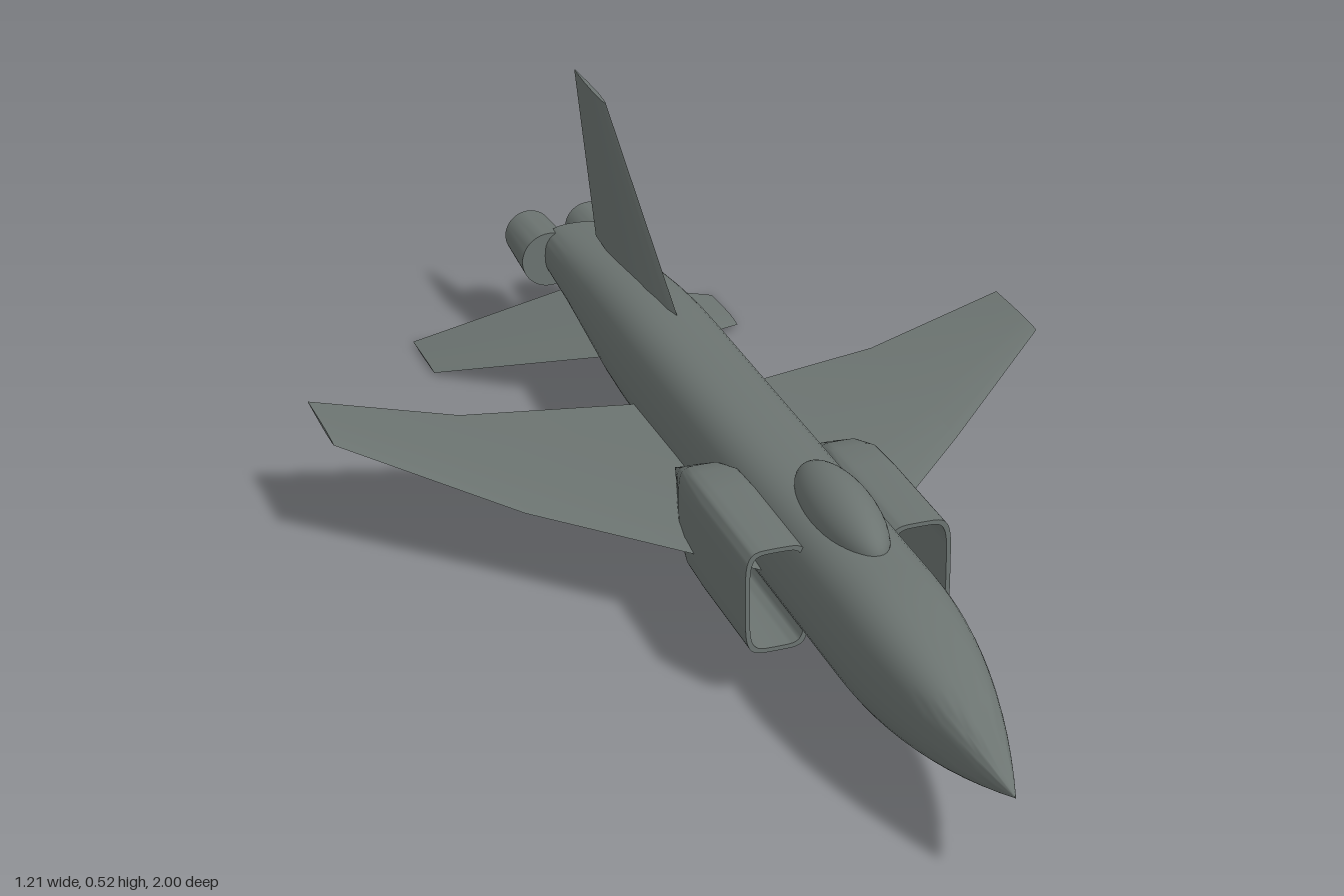
import * as THREE from 'three';
import { toCreasedNormals } from 'three/addons/utils/BufferGeometryUtils.js';

const V = (x, y, z) => new THREE.Vector3(x, y, z);

// Skin a list of equal-length closed rings, optionally capping both ends
function loft(rings, cap, crease = 0.6) {
  if (cap) {
    const centre = (r) => {
      const c = r.reduce((s, p) => s.add(p), V(0, 0, 0)).divideScalar(r.length);
      return r.map(() => c);
    };
    rings = [centre(rings[0]), ...rings, centre(rings[rings.length - 1])];
  }
  const n = rings[0].length, index = [];
  for (let i = 0; i < rings.length - 1; i++) {
    for (let j = 0; j < n; j++) {
      const a = i * n + j, b = i * n + (j + 1) % n;
      index.push(a, a + n, b, b, a + n, b + n);
    }
  }
  const g = new THREE.BufferGeometry().setFromPoints(rings.flat());
  g.setIndex(index);
  return toCreasedNormals(g, crease);
}

// Superellipse section facing along z
function section(cx, cy, z, rx, ry, power, n = 40) {
  const bend = (v) => Math.sign(v) * Math.pow(Math.abs(v), 2 / power);
  return Array.from({ length: n }, (_, i) => {
    const t = (i / n) * Math.PI * 2;
    return V(cx + rx * bend(Math.cos(t)), cy + ry * bend(Math.sin(t)), z);
  });
}

// Thin aerofoil section from leading to trailing point, thickened along t
function foil(lead, trail, t) {
  const at = (f, k) => lead.clone().lerp(trail, f).addScaledVector(t, k);
  return [at(0, 0), at(0.07, 0.55), at(0.3, 1), at(0.65, 0.8), at(1, 0.15),
    at(1, -0.15), at(0.65, -0.8), at(0.3, -1), at(0.07, -0.55)];
}

const mirrorRings = (rings) => rings.map((r) => r.map((p) => V(-p.x, p.y, p.z)).reverse());

export function createModel() {
  const model = new THREE.Group();
  const grey = new THREE.MeshStandardMaterial({ color: 0x6c7471 });
  grey.name = 'airframe grey';
  const add = (name, geometry) => {
    const mesh = new THREE.Mesh(geometry, grey);
    mesh.name = name;
    model.add(mesh);
    return mesh;
  };
  const addPair = (name, rings, crease) => {
    add(name + 'Left', loft(rings, true, crease));
    add(name + 'Right', loft(mirrorRings(rings), true, crease));
  };

  // Fuselage: curved nose, straight middle, tapered tail
  const hull = [];
  for (let i = 0; i <= 12; i++) {
    const u = i / 12, f = u * (2 - u);
    hull.push([1 - 0.45 * u, 0.087 * f, 0.16 - 0.08 * f, 0.16 + 0.12 * f]);
  }
  hull.push([0.1, 0.087, 0.08, 0.28], [-0.35, 0.086, 0.08, 0.28], [-0.43, 0.085, 0.083, 0.279],
    [-0.52, 0.082, 0.089, 0.273], [-0.62, 0.076, 0.1, 0.262], [-0.75, 0.069, 0.117, 0.245],
    [-0.9, 0.063, 0.132, 0.224]);
  add('fuselage', loft(hull.map(([z, w, lo, hi]) =>
    section(0, (lo + hi) / 2, z, w, (hi - lo) / 2, 2.7)), true));

  // Canopy bubble
  const canopy = add('canopy', new THREE.SphereGeometry(1, 40, 24));
  canopy.scale.set(0.049, 0.055, 0.147);
  canopy.position.set(0, 0.275, 0.368);

  // Hollow intakes: inner duct forward to the lip, then the outer skin back to a point
  const skin = [[0.4, 1], [0.2, 1], [0.13, 0.97], [0.08, 0.8], [0.03, 0.5], [-0.02, 0.18], [-0.05, 0]];
  const duct = skin.slice(0, 5).reverse();
  const intakeRing = ([z, s], wall) => section(
    0.113, 0.17, z, Math.max(0.05 * s - wall, 0), Math.max(0.086 * s - wall, 0), 5, 48);
  const intake = [...duct.map((p) => intakeRing(p, 0.007)), ...skin.map((p) => intakeRing(p, 0))];
  addPair('intake', intake, 0.7);

  // Cranked wings with raised tips
  const up = (t) => V(0, t, 0);
  addPair('wing', [
    foil(V(0.05, 0.14, 0.295), V(0.05, 0.14, -0.33), up(0.012)),
    foil(V(0.363, 0.14, -0.04), V(0.363, 0.14, -0.4), up(0.008)),
    foil(V(0.606, 0.194, -0.265), V(0.606, 0.194, -0.43), up(0.003)),
  ], 0.35);

  // Drooping tailplanes
  addPair('tailplane', [
    foil(V(0.03, 0.105, -0.595), V(0.03, 0.105, -0.885), V(0.002, 0.006, 0)),
    foil(V(0.284, 0.004, -0.84), V(0.284, 0.004, -0.975), V(0.001, 0.003, 0)),
  ], 0.35);

  // Upright fin
  add('fin', loft([
    foil(V(0, 0.25, -0.312), V(0, 0.25, -0.775), V(-0.011, 0, 0)),
    foil(V(0, 0.52, -0.71), V(0, 0.52, -0.88), V(-0.004, 0, 0)),
  ], true, 0.35));

  // Hollow exhaust nozzles
  const profile = [[0, 0], [0.05, 0], [0.043, 0.125], [0.038, 0.125], [0.041, 0.03], [0, 0.03]];
  const nozzle = toCreasedNormals(new THREE.LatheGeometry(
    profile.map(([r, y]) => new THREE.Vector2(r, y)), 40), 0.6);
  nozzle.rotateX(-Math.PI / 2);
  for (const side of [1, -1]) {
    add(side > 0 ? 'nozzleLeft' : 'nozzleRight', nozzle).position.set(side * 0.056, 0.172, -0.875);
  }
  return model;
}
